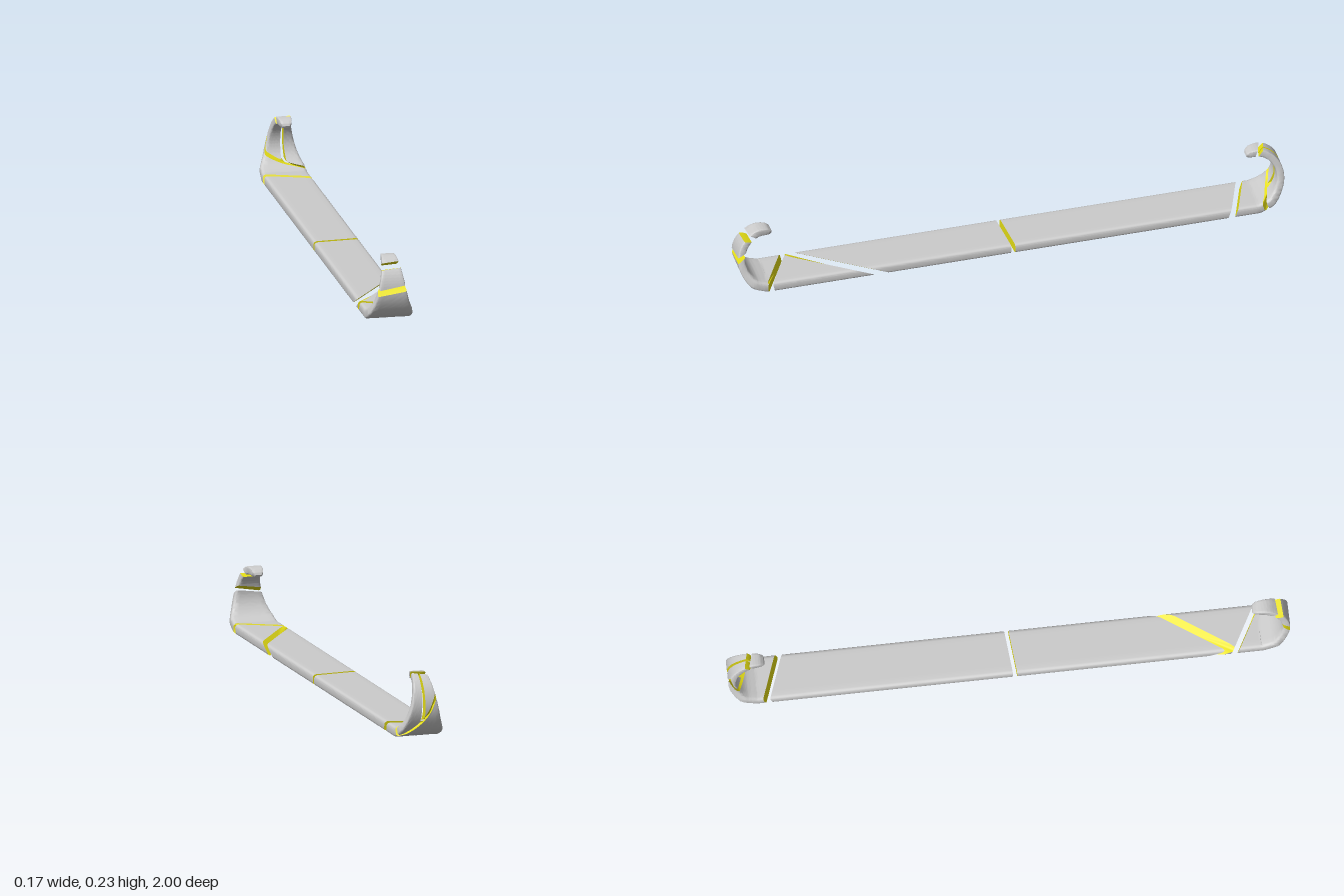
import * as THREE from 'three';
import { toCreasedNormals } from 'three/addons/utils/BufferGeometryUtils.js';

const FLAT = 0.9;    // half length of the straight part
const CURL = 0.318;  // length of each curled end
const V = (z, y) => new THREE.Vector3(0, y, z);
const curl = new THREE.CatmullRomCurve3([
  V(0.9, 0.018), V(0.945, 0.037), V(0.976, 0.08), V(0.986, 0.125), V(0.975, 0.172),
  V(0.95, 0.204), V(0.92, 0.22), V(0.89, 0.219), V(0.869, 0.208),
]);
// [distance along curl, half width, half thickness]
const taper = [
  [0, 0.083, 0.018], [0.05, 0.08, 0.017], [0.1, 0.062, 0.014], [0.146, 0.049, 0.013],
  [0.192, 0.039, 0.013], [0.231, 0.032, 0.013], [0.265, 0.027, 0.014], [0.295, 0.023, 0.013],
  [0.31, 0.019, 0.01], [0.318, 0.012, 0.004],
];

function sizeAt(d) {
  if (d <= 0) return [0.083, 0.018];
  let i = 1;
  while (i < taper.length - 1 && taper[i][0] < d) i++;
  const a = taper[i - 1], b = taper[i];
  const t = Math.min(1, (d - a[0]) / (b[0] - a[0]));
  return [a[1] + (b[1] - a[1]) * t, a[2] + (b[2] - a[2]) * t];
}

// point at distance s along the band; f and v run -1..1 across width and thickness
function pointAt(f, v, s) {
  const d = Math.abs(s) - FLAT;
  const [w, h] = sizeAt(d);
  if (d <= 0) return [f * w, 0.018 + v * h, s];
  const sign = Math.sign(s), t = Math.min(1, d / CURL);
  const p = curl.getPointAt(t), g = curl.getTangentAt(t);
  return [f * w, p.y + g.z * v * h, sign * (p.z - g.y * v * h)];
}

// rounded right-hand edge of the section, bottom to top
const edge = [];
for (const [rf, rv, from, cv] of [[0.1, 0.45, -90, -0.55], [0.16, 0.6, 0, 0.4]]) {
  for (let i = 0; i <= 4; i++) {
    const a = THREE.MathUtils.degToRad(from + i * 22.5);
    edge.push([1 - rf + rf * Math.cos(a), cv + rv * Math.sin(a)]);
  }
}
const leftEdge = edge.map(([f, v]) => [-f, v]).reverse();
const line = (a, b, n) => Array.from({ length: n + 1 }, (_, i) =>
  [a[0] + (b[0] - a[0]) * i / n, a[1] + (b[1] - a[1]) * i / n]);

const grey = new THREE.MeshStandardMaterial({ color: 0xcccccc, side: THREE.DoubleSide });
const yellow = new THREE.MeshStandardMaterial({ color: 0xe8e117, side: THREE.DoubleSide });

function meshFrom(triangles, material, name) {
  let g = new THREE.BufferGeometry();
  g.setAttribute('position', new THREE.Float32BufferAttribute(triangles.flat(2), 3));
  g = toCreasedNormals(g, 0.6);
  const mesh = new THREE.Mesh(g, material);
  mesh.name = name;
  return mesh;
}

// one fragment of the band between two cuts; lo/hi trim it lengthwise
function fragment(name, start, end, { lo = -1, hi = 1, caps = [true, true] } = {}) {
  const right = hi === 1 ? edge : line([hi, -1], [hi, 1], 2);
  const left = lo === -1 ? leftEdge : line([lo, 1], [lo, -1], 2);
  const bottom = line(left[left.length - 1], right[0], 8).slice(1, -1);
  const top = line(right[right.length - 1], left[0], 8).slice(1, -1);
  const ring = [...bottom, ...right, ...top, ...left];
  const rightAt = bottom.length, leftAt = rightAt + right.length + top.length;
  const n = ring.length, steps = 28;
  const at = ([f, v], j) => {
    const a = start(f, v), b = end(f, v);
    return pointAt(f, v, a + (b - a) * j / steps);
  };
  const skin = [], broken = [];
  for (let i = 0; i < n; i++) {
    const p = ring[i], q = ring[(i + 1) % n];
    const cutRight = hi < 1 && i >= rightAt && i < rightAt + 2;
    const cutLeft = lo > -1 && i >= leftAt && i < leftAt + 2;
    const out = cutRight || cutLeft ? broken : skin;
    for (let j = 0; j < steps; j++) {
      const a = at(p, j), b = at(q, j), c = at(q, j + 1), d = at(p, j + 1);
      out.push([a, b, c], [a, c, d]);
    }
  }
  // end faces
  const middle = [(lo + hi) / 2, 0];
  for (let i = 0; i < n; i++) {
    const p = ring[i], q = ring[(i + 1) % n];
    (caps[0] ? broken : skin).push([at(middle, 0), at(q, 0), at(p, 0)]);
    (caps[1] ? broken : skin).push([at(middle, steps), at(p, steps), at(q, steps)]);
  }
  const group = new THREE.Group();
  group.name = name;
  group.add(meshFrom(skin, grey, name + 'Skin'), meshFrom(broken, yellow, name + 'BreakFaces'));
  return group;
}

export function createModel() {
  const model = new THREE.Group();
  model.name = 'brokenCurledBand';
  const tip = FLAT + CURL;

  // back end: steep scarf break, curl split lengthwise, loose tip
  const scarf = (gap) => (f, v) => -(FLAT + 0.075 + gap - 0.06 * f - 0.018 * v * (1 - f));
  const backTop = (f, v) => -(FLAT + 0.262 + 0.006 * f + 0.005 * v);
  model.add(
    fragment('backTip', () => -tip, (f, v) => backTop(f, v) - 0.014, { caps: [false, true] }),
    fragment('backCurlLeft', backTop, scarf(0.016), { lo: 0.22 }),
    fragment('backCurlRight', backTop, scarf(0.016), { hi: -0.02 }),
    fragment('backBase', scarf(0), (f, v) => -0.845 + 0.03 * f - 0.006 * v),
  );

  // straight runs: slanted break, long diagonal break, wedge
  const diagonal = (z) => (f, v) => z - 0.122 * f + 0.04 * v;
  const wedgeEnd = (f, v) => 0.833 + 0.045 * f + 0.004 * v;
  model.add(
    fragment('backRun', (f, v) => -0.82 + 0.03 * f - 0.006 * v, (f) => 0.002 - 0.007 * f),
    fragment('frontRun', (f) => 0.017 - 0.007 * f, diagonal(0.612)),
    fragment('frontWedge', (f, v) => Math.min(diagonal(0.662)(f, v), wedgeEnd(f, v)), wedgeEnd),
  );

  // front end: base, curl and tip
  const low = (d) => (f, v) => FLAT + d + 0.007 * f + 0.01 * v;
  const high = (d) => (f, v) => FLAT + d + 0.003 * f + 0.006 * v;
  model.add(
    fragment('frontBase', (f, v) => wedgeEnd(f, v) + 0.022, low(0.143)),
    fragment('frontCurl', low(0.162), high(0.218)),
    fragment('frontTip', high(0.242), () => tip, { caps: [true, false] }),
  );
  return model;
}
